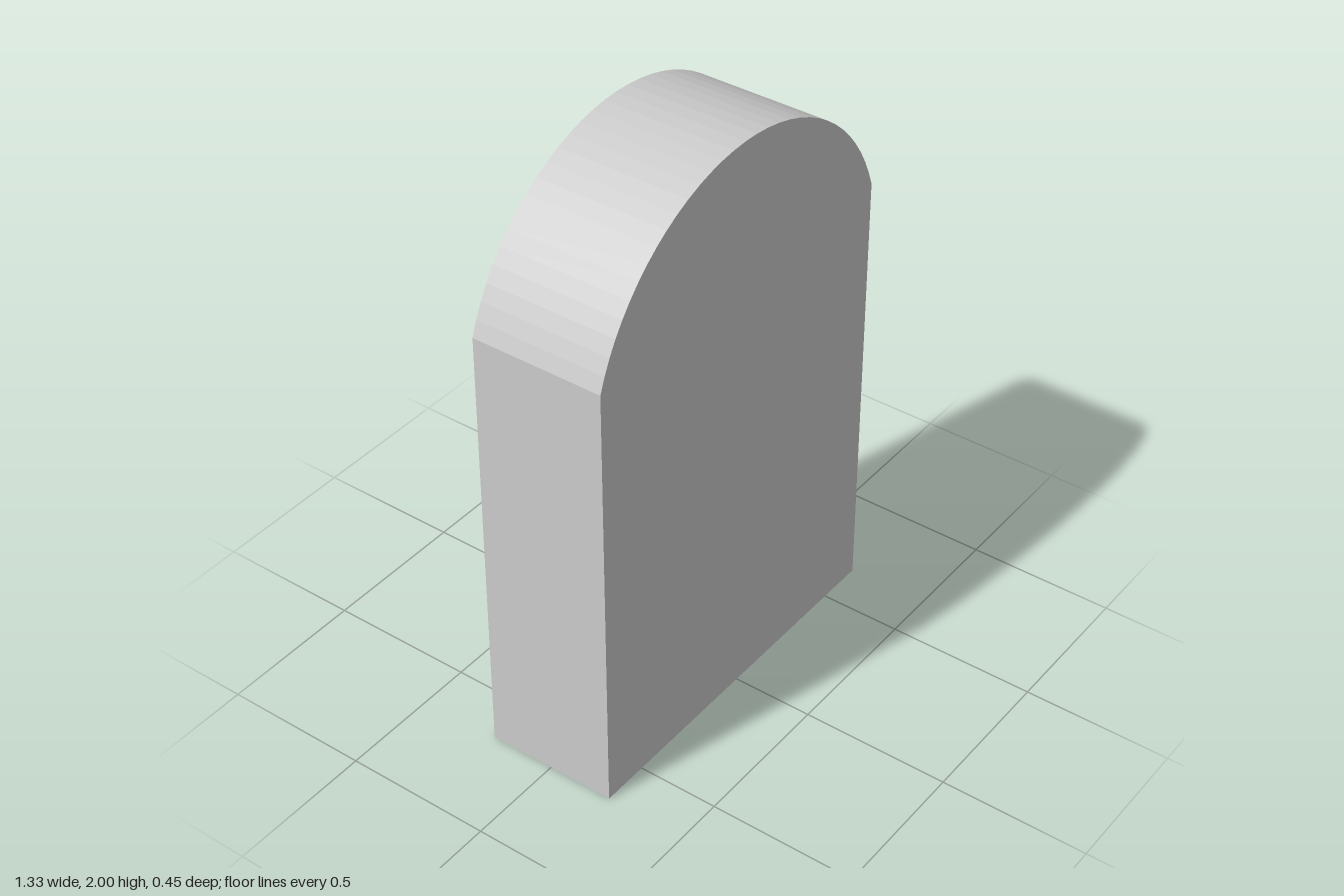
import * as THREE from 'three';

export function createModel() {
  const group = new THREE.Group();
  group.name = 'archedSlab';

  const halfWidth = 0.663, shoulder = 1.525, height = 2, depth = 0.45;

  // Circle through both shoulders and the crown
  const rise = height - shoulder;
  const radius = (halfWidth ** 2 + rise ** 2) / (2 * rise);
  const centreY = height - radius;
  const start = Math.atan2(shoulder - centreY, halfWidth);

  // Outline: straight sides under a segmental arch
  const outline = new THREE.Shape();
  outline.moveTo(-halfWidth, 0);
  outline.lineTo(halfWidth, 0);
  outline.lineTo(halfWidth, shoulder);
  outline.absarc(0, centreY, radius, start, Math.PI - start, false);
  outline.closePath();

  // Solid slab, centred front to back
  const geometry = new THREE.ExtrudeGeometry(outline, {
    depth, bevelEnabled: false, curveSegments: 16,
  });
  geometry.translate(0, 0, -depth / 2);

  const slab = new THREE.Mesh(
    geometry,
    new THREE.MeshStandardMaterial({ color: 0xcccccc, flatShading: true }),
  );
  slab.name = 'slab';
  group.add(slab);
  return group;
}
